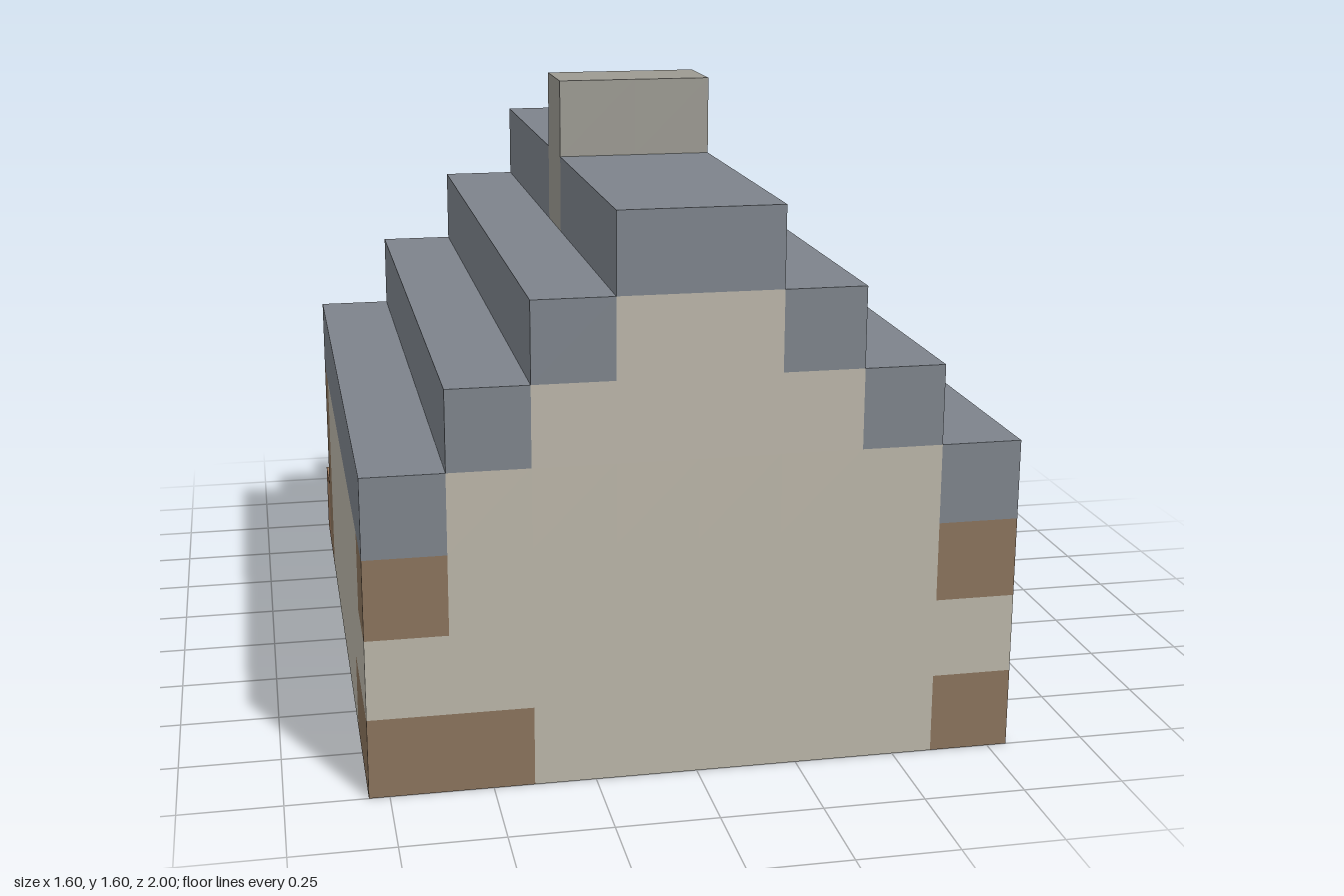
import * as THREE from 'three';
import { mergeGeometries } from 'three/addons/utils/BufferGeometryUtils.js';

const S = 0.2; // block size
const NX = 8, NY = 8, NZ = 10;

const COLORS = {
  wall: 0xbab5a8, timber: 0x8a735c, roof: 0x7d838b, chimney: 0x9c9a92,
  floor: 0x6b5a4a, backStep: 0xa0917d, backStepEnd: 0x9d7b60, backPlanks: 0xa98467,
};

// Which part fills the block at column i (x), layer j (y), row k (z)
function partAt(i, j, k) {
  if (i < 0 || j < 0 || k < 0 || i >= NX || j >= NY || k >= NZ) return null;
  if (k === 0) return j > 0 ? null : i === 0 ? 'backStepEnd' : 'backStep';
  const d = i < 4 ? 3 - i : i - 4; // distance from the ridge line
  if (d === 0 && k === 5) return 'chimney';
  // Stepped roof, one block thick
  if (j >= 3 && d >= 6 - j) return d === 6 - j ? 'roof' : null;
  // Hollow inside with a floor
  if (d < 3 && k > 1 && k < 9) return j === 0 ? 'floor' : null;
  // Corner timbers and planks over the back step
  const backPost = d === 3 && k === 1;
  const frontQuoin = d === 3 && k === 9 && j !== 1;
  const foot = j === 0 && ((d === 3 && k === 8) || (i === 1 && k === 9));
  if (backPost || frontQuoin || foot) return 'timber';
  if (k === 1 && j === 1 && i >= 1 && i <= 5) return 'backPlanks';
  return 'wall';
}

const DIRS = [[1, 0, 0], [-1, 0, 0], [0, 1, 0], [0, -1, 0], [0, 0, 1], [0, 0, -1]];

// One block side, facing direction dir
function blockFace(i, j, k, dir) {
  return new THREE.PlaneGeometry(S, S)
    .translate(0, 0, S / 2)
    .lookAt(new THREE.Vector3(...dir))
    .translate((i + 0.5 - NX / 2) * S, (j + 0.5) * S, (k + 0.5 - NZ / 2) * S);
}

export function createModel() {
  const faces = {};
  for (let i = 0; i < NX; i++)
    for (let j = 0; j < NY; j++)
      for (let k = 0; k < NZ; k++) {
        const part = partAt(i, j, k);
        if (!part) continue;
        for (const dir of DIRS) {
          const [a, b, c] = dir;
          // Skip sides between blocks; the underside stays open
          if (j + b < 0 || partAt(i + a, j + b, k + c)) continue;
          (faces[part] ??= []).push(blockFace(i, j, k, dir));
        }
      }

  const house = new THREE.Group();
  house.name = 'blockHouse';
  for (const [part, list] of Object.entries(faces)) {
    const material = new THREE.MeshStandardMaterial({ color: COLORS[part], side: THREE.DoubleSide });
    const mesh = new THREE.Mesh(mergeGeometries(list), material);
    mesh.name = part;
    house.add(mesh);
  }
  return house;
}
